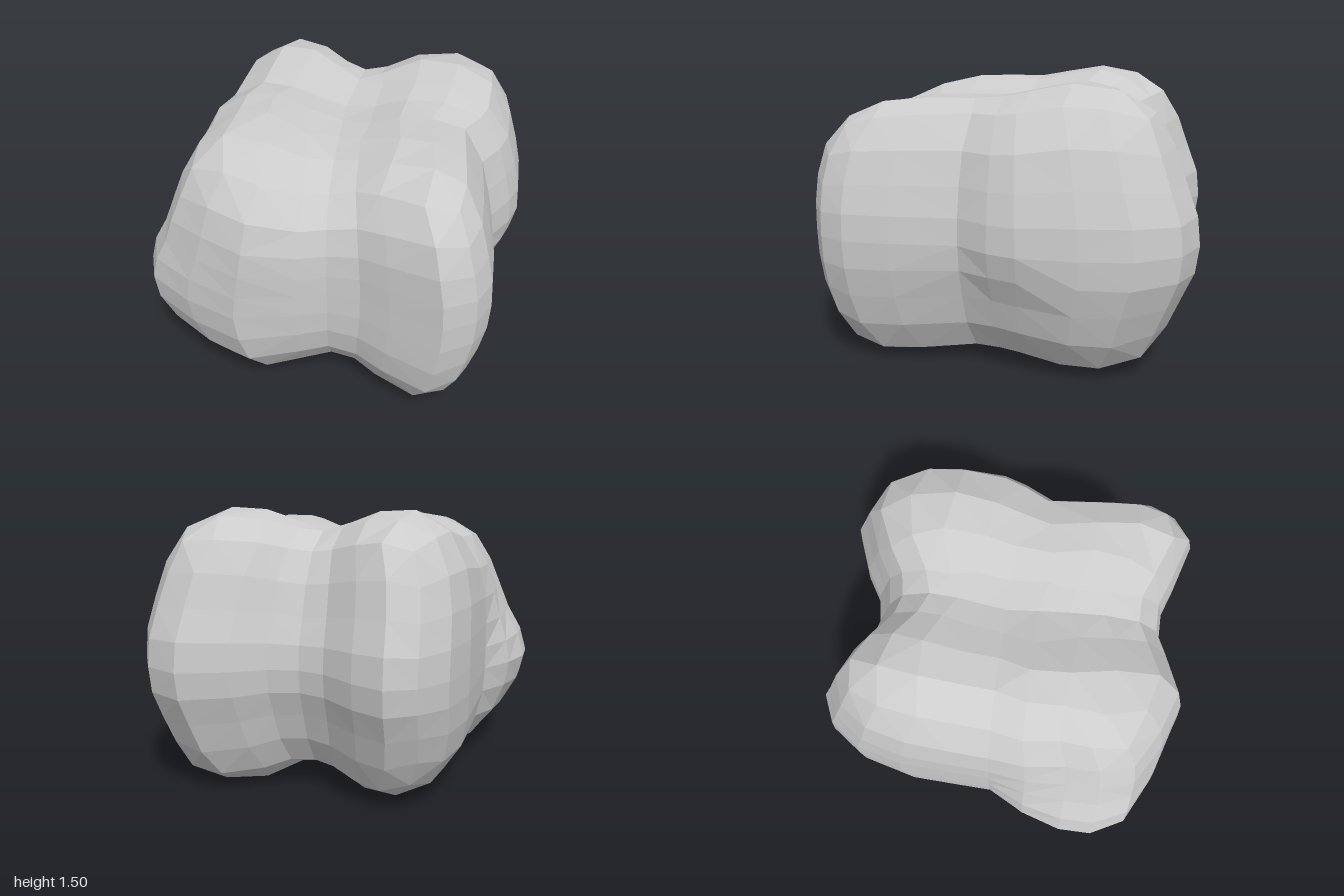
import * as THREE from 'three';

const { lerp, smoothstep } = THREE.MathUtils;
const MID = 0.722;   // height of the widest level
const POWER = 3.4;   // squareness of the rounded block

// Plan outline at mid height, one run of [x, z] per side, each from - to + along the side.
const FRONT = [[-0.9, 0.78], [-0.65, 0.91], [-0.36, 1], [-0.05, 0.92], [0.1, 0.86],
  [0.27, 0.86], [0.43, 0.92], [0.7, 1], [0.85, 0.9]];
const BACK = [[-0.6, -0.92], [-0.45, -0.99], [-0.28, -0.92], [-0.1, -0.8], [0.04, -0.77],
  [0.2, -0.8], [0.36, -0.9], [0.61, -1], [0.8, -0.92]];
const LEFT = [[0.8, -0.92], [0.94, -0.7], [0.98, -0.45], [0.99, -0.15], [0.95, 0],
  [0.86, 0.17], [0.9, 0.52], [0.91, 0.76], [0.85, 0.9]];
const RIGHT = [[-0.6, -0.92], [-0.72, -0.75], [-0.78, -0.5], [-0.79, -0.25], [-0.8, 0],
  [-0.92, 0.2], [-0.99, 0.42], [-0.99, 0.6], [-0.9, 0.78]];

// Lobes of the top and bottom, added across x and z.
const TOP_X = [[-0.5, 0.14], [0.05, 0], [0.45, 0.1], [0.7, 0.16]];
const TOP_Z = [[-0.5, 0.09], [0.05, 0], [0.5, -0.01]];
const BOTTOM_X = [[-0.45, 0.1], [0.1, 0], [0.45, 0.095], [0.7, 0.15]];
const BOTTOM_Z = [[-0.65, 0.08], [-0.45, 0.05], [0, 0], [0.45, 0.05], [0.65, 0.08]];

// Inward lean of the front right corner with height.
const LEAN = [[-0.72, 0.88], [-0.5, 0.93], [-0.25, 1], [0, 0.95], [0.2, 0.87], [0.5, 0.79]];

// Eased interpolation through [position, value] knots, held constant past the ends.
function ease(knots, t) {
  if (t <= knots[0][0]) return knots[0][1];
  for (let i = 1; i < knots.length; i++) {
    const [a, va] = knots[i - 1], [b, vb] = knots[i];
    if (t <= b) return lerp(va, vb, smoothstep(t, a, b));
  }
  return knots[knots.length - 1][1];
}

// Point on one side of the outline, t from -1 to 1.
function along(side, t) {
  const f = (t + 1) * 4;
  const i = Math.min(7, Math.floor(f));
  const [x0, z0] = side[i], [x1, z1] = side[i + 1];
  return [lerp(x0, x1, f - i), lerp(z0, z1, f - i)];
}

// Point of the outline in the direction of a point on the square grid.
function outline(x, z) {
  const m = Math.max(Math.abs(x), Math.abs(z));
  if (m === 0) return [0, 0];
  if (Math.abs(z) === m) return along(z > 0 ? FRONT : BACK, x / m);
  return along(x > 0 ? LEFT : RIGHT, z / m);
}

const norm = (...v) => v.reduce((s, a) => s + Math.abs(a) ** POWER, 0) ** (1 / POWER);

// Cube coordinate spread evenly over a sphere.
const round = (a, b, c) => a * Math.sqrt(1 - b * b / 2 - c * c / 2 + b * b * c * c / 3);

// Move a point of the cube onto the boulder.
function warp(p) {
  const qx = round(p.x, p.y, p.z), qy = round(p.y, p.z, p.x), qz = round(p.z, p.x, p.y);
  const n = norm(qx, qy, qz);
  const spread = norm(qx, qz) / n;
  const h = qy / n;
  let [x, z] = outline(p.x, p.z).map((c) => c * spread);

  const rise = h > 0
    ? 0.615 + ease(TOP_X, x) + ease(TOP_Z, z)
    : 0.59 + ease(BOTTOM_X, x) + ease(BOTTOM_Z, z);

  // Tapered left side with a low dent, leaning front right corner, tapered back
  const taper = smoothstep(Math.abs(h), 0.05, 0.55);
  if (x > 0) {
    x *= 1 - 0.05 * taper;
    x -= 0.06 * smoothstep(x, 0.5, 0.8) * smoothstep(-h, 0, 0.4) * Math.exp(-(((z + 0.08) / 0.22) ** 2));
  } else {
    x *= lerp(1, ease(LEAN, h), smoothstep(z, -0.05, 0.4));
  }
  if (z < 0) z *= 1 - 0.1 * taper;

  p.set(x, MID + h * rise, z);
}

// Split every four-sided facet along its shorter diagonal.
function splitFacets(geometry) {
  const pos = geometry.attributes.position;
  const at = (i) => new THREE.Vector3().fromBufferAttribute(pos, i);
  const old = geometry.index.array;
  const index = [];
  for (let i = 0; i < old.length; i += 6) {
    const a = old[i], b = old[i + 1], d = old[i + 2], c = old[i + 4];
    if (at(a).distanceTo(at(c)) < at(b).distanceTo(at(d))) index.push(a, b, c, a, c, d);
    else index.push(a, b, d, b, c, d);
  }
  geometry.setIndex(index);
}

export function createModel() {
  const geometry = new THREE.BoxGeometry(2, 2, 2, 8, 8, 8);
  const pos = geometry.attributes.position;
  const p = new THREE.Vector3();
  for (let i = 0; i < pos.count; i++) {
    warp(p.fromBufferAttribute(pos, i));
    pos.setXYZ(i, p.x, p.y, p.z);
  }
  splitFacets(geometry);
  geometry.computeVertexNormals();

  const boulder = new THREE.Mesh(
    geometry,
    new THREE.MeshStandardMaterial({ color: 0xcccccc, flatShading: true })
  );
  boulder.name = 'boulder';

  const group = new THREE.Group();
  group.name = 'rock';
  group.add(boulder);
  return group;
}
